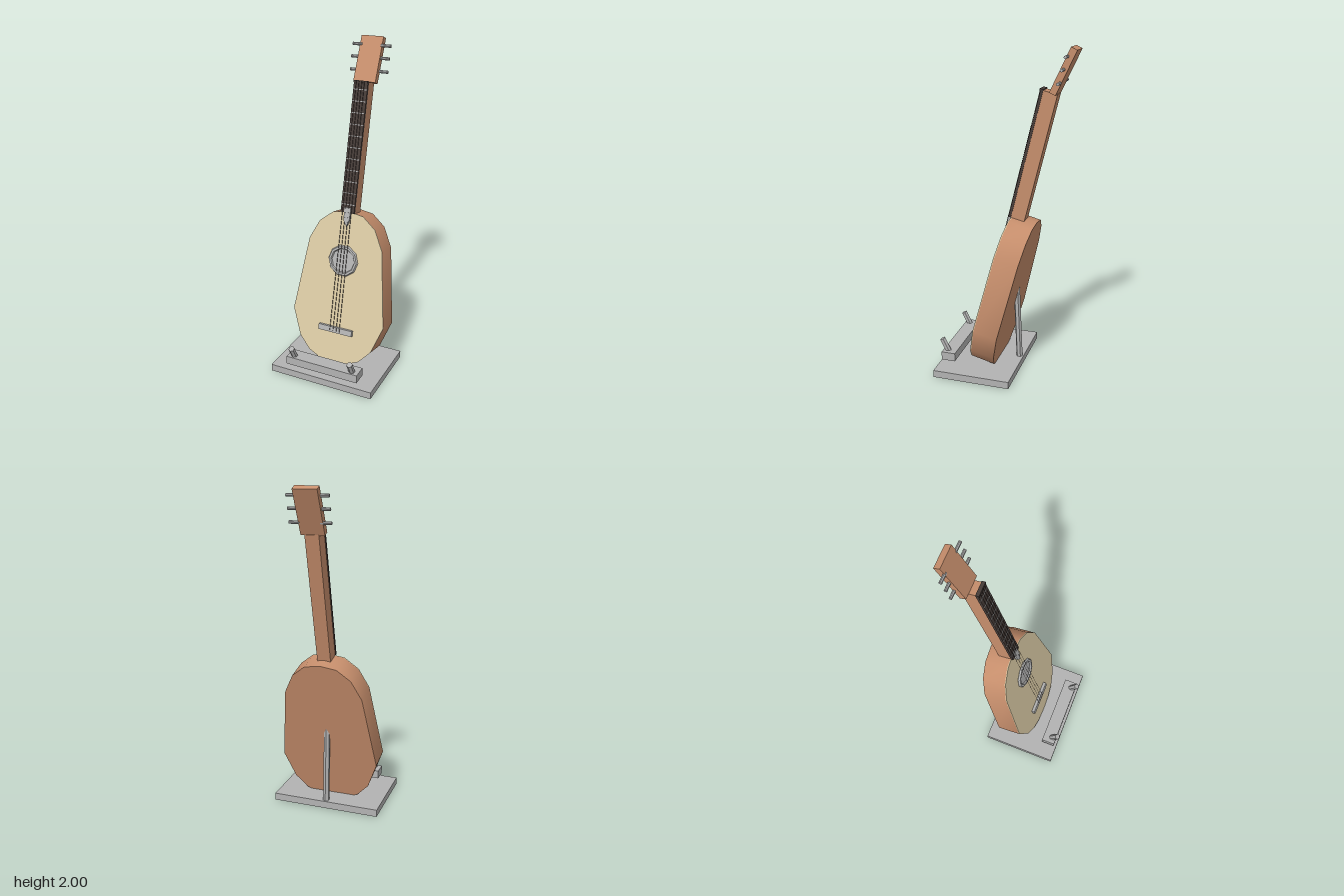
import * as THREE from 'three';
import { toCreasedNormals } from 'three/addons/utils/BufferGeometryUtils.js';

const material = (name, color) => {
  const m = new THREE.MeshStandardMaterial({ color });
  m.name = name;
  return m;
};

export function createModel() {
  const model = new THREE.Group();
  model.name = 'guitarOnStand';
  const wood = material('brown wood', 0xc68e6c);
  const pale = material('pale soundboard', 0xdacaa4);
  const ebony = material('dark fingerboard', 0x463c38);
  const grey = material('grey metal', 0xb2b2b2);

  const add = (parent, name, geometry, mat, x = 0, y = 0, z = 0) => {
    const mesh = new THREE.Mesh(geometry, mat);
    mesh.name = name;
    mesh.position.set(x, y, z);
    parent.add(mesh);
    return mesh;
  };
  const box = (w, h, d) => new THREE.BoxGeometry(w, h, d);
  const flat = (geometry) => toCreasedNormals(geometry, 0.1);
  // Prism between two points
  const rod = (parent, name, a, b, radius, sides, mat) => {
    const from = new THREE.Vector3(...a), to = new THREE.Vector3(...b);
    const dir = to.clone().sub(from);
    const mesh = add(parent, name, flat(new THREE.CylinderGeometry(radius, radius, dir.length(), sides)), mat);
    mesh.position.copy(from).add(to).multiplyScalar(0.5);
    mesh.quaternion.setFromUnitVectors(new THREE.Vector3(0, 1, 0), dir.normalize());
    return mesh;
  };
  const extrude = (points, depth) => new THREE.ExtrudeGeometry(
    new THREE.Shape(points.map(([x, y]) => new THREE.Vector2(x, y))), { depth, bevelEnabled: false });

  // Stand: base, front rest with two pegs, rear prop
  const stand = new THREE.Group();
  stand.name = 'stand';
  model.add(stand);
  add(stand, 'base', box(0.68, 0.045, 0.485), grey, 0, 0.0225, 0.153);
  add(stand, 'frontRest', box(0.48, 0.053, 0.088), grey, 0, 0.098, 0.334);
  for (const x of [-0.197, 0.197])
    rod(stand, 'restPeg', [x, 0.11, 0.343], [x, 0.196, 0.386], 0.019, 6, grey);
  rod(stand, 'rearProp', [0, 0.04, -0.063], [0, 0.52, -0.043], 0.02, 6, grey);

  // Instrument leans back; local origin is the lower edge of the soundboard
  const guitar = new THREE.Group();
  guitar.name = 'guitar';
  guitar.position.set(0, 0.05, 0.215);
  guitar.rotation.x = -0.242;
  model.add(guitar);

  // Body outline: right half mirrored
  const half = [[0, 0], [0.1, 0.012], [0.172, 0.045], [0.245, 0.125], [0.309, 0.295],
    [0.245, 0.768], [0.185, 0.89], [0.1, 0.958], [0, 0.974]];
  const outline = [...half, ...half.slice(1, -1).reverse().map(([x, y]) => [-x, y])];
  add(guitar, 'body', toCreasedNormals(extrude(outline, 0.149), 0.9), wood, 0, 0, -0.155);
  add(guitar, 'soundboard', extrude(outline, 0.006), pale, 0, 0, -0.006);

  // Sound hole ring and disc
  add(guitar, 'soundHoleDisc', new THREE.CylinderGeometry(0.083, 0.083, 0.004, 10).rotateX(Math.PI / 2),
    grey, 0, 0.665, 0.002);
  add(guitar, 'soundHoleRing', flat(new THREE.TorusGeometry(0.087, 0.013, 6, 10)), grey, 0, 0.665, 0.002);

  add(guitar, 'bridge', box(0.228, 0.035, 0.02), grey, 0, 0.218, 0.01);

  // Neck, fingerboard, frets
  add(guitar, 'neck', box(0.084, 0.8, 0.085), wood, 0, 1.356, -0.0425);
  add(guitar, 'fingerboard', box(0.09, 0.79, 0.016), ebony, 0, 1.363, 0.008);
  for (let i = 0; i < 11; i++)
    add(guitar, 'fret', box(0.088, 0.005, 0.003), grey, 0, 1.02 + i * 0.069, 0.017);
  add(guitar, 'nut', box(0.09, 0.012, 0.022), ebony, 0, 1.756, 0.011);

  // Pointed plate at the foot of the fingerboard
  add(guitar, 'fingerboardTip', extrude([[-0.02, 1.0], [-0.018, 0.92], [0.004, 0.885], [0.02, 0.925], [0.023, 1.0]], 0.02),
    grey, 0, 0, 0.002);

  // Strings
  for (const x of [-0.034, -0.012, 0.01, 0.031])
    rod(guitar, 'string', [x, 0.21, 0.02], [x * 0.8, 1.758, 0.022], 0.0013, 4, ebony);

  // Headstock, bent further back, with three pegs on each side
  const head = add(model, 'headstock', box(0.142, 0.278, 0.04), wood, -0.004, 1.865, -0.322);
  head.rotation.x = -0.44;
  for (const [y, z] of [[1.802, -0.306], [1.877, -0.325], [1.948, -0.345]])
    for (const side of [-1, 1])
      rod(model, 'tuningPeg', [side * 0.06, y, z], [side * 0.123, y, z], 0.0095, 8, grey);

  return model;
}
